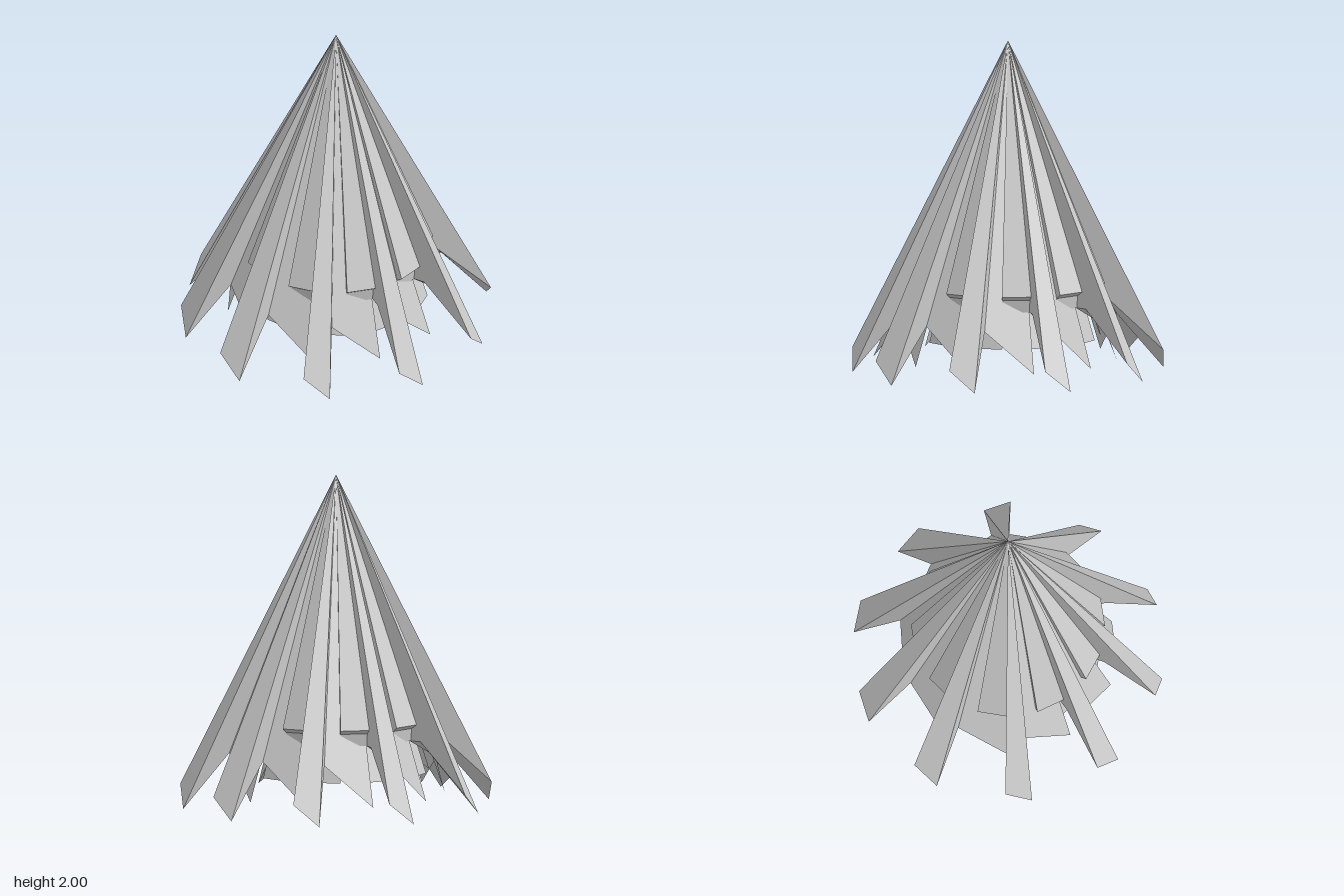
import * as THREE from 'three';

const COUNT = 10;
const APEX = [0, 2, 0];
const mat = new THREE.MeshStandardMaterial({ color: 0xcccccc, flatShading: true, side: THREE.DoubleSide });

// Point from angle in degrees (anticlockwise seen from above), radius and height
function polar(deg, r, y) {
  const a = THREE.MathUtils.degToRad(deg);
  return [r * Math.cos(a), y, -r * Math.sin(a)];
}

function facetMesh(name, triangles) {
  const geo = new THREE.BufferGeometry();
  geo.setAttribute('position', new THREE.Float32BufferAttribute(triangles.flat(2), 3));
  geo.computeVertexNormals();
  const mesh = new THREE.Mesh(geo, mat);
  mesh.name = name;
  return mesh;
}

// Fan of triangles from the apex along a rim of points
const fan = (rim) => rim.slice(1).map((p, i) => [rim[i], p, APEX]);

// Long leg: side wall, outer face, the wall running back to the flap, and a slanted underside
function leg(a) {
  const rim = [
    polar(a - 0.6, 0.53, 0.43),
    polar(a - 0.6, 0.61, 0.43),
    polar(a - 0.6, 0.935, 0.13),
    polar(a + 9.2, 0.937, 0),
    polar(a + 9.2, 0.655, 0.33),
  ];
  const underside = [[rim[1], rim[3], rim[2]], [rim[1], rim[4], rim[3]], [rim[0], rim[4], rim[1]]];
  return facetMesh('leg', [...fan(rim), ...underside]);
}

// Recessed flap with a slanted lower edge
function flap(a) {
  return facetMesh('flap', fan([polar(a + 9.2, 0.655, 0.33), polar(a + 35.4, 0.652, 0.07)]));
}

// Tapering panel from the apex; its end steps inward through a list of [radius, height]
function panel(name, from, to, profile) {
  const left = profile.map(([r, y]) => polar(from, r, y));
  const right = profile.map(([r, y]) => polar(to, r, y));
  const tris = [[left[0], right[0], APEX]];
  for (let i = 1; i < profile.length; i++) {
    tris.push([left[i - 1], left[i], right[i]], [left[i - 1], right[i], right[i - 1]]);
    tris.push([left[i], left[i - 1], APEX], [right[i - 1], right[i], APEX]);
  }
  return facetMesh(name, tris);
}

export function createModel() {
  const group = new THREE.Group();

  for (let i = 0; i < COUNT; i++) {
    const a = i * 36;
    group.add(leg(a), flap(a));
    // Short raised panels between the legs, with a stepped end
    group.add(panel('upperPanel', a + 18, a + 35.4, [[0.582, 0.53], [0.547, 0.505], [0.54, 0.43]]));
    // Inner panels hanging behind the legs
    group.add(panel('innerPanel', a, a + 18, [[0.56, 0.21]]));
  }

  // Solid core with a flat round underside
  const core = new THREE.Mesh(new THREE.ConeGeometry(0.41, 1.65, 32), mat);
  core.name = 'core';
  core.position.y = 0.35 + 1.65 / 2;
  group.add(core);

  return group;
}
